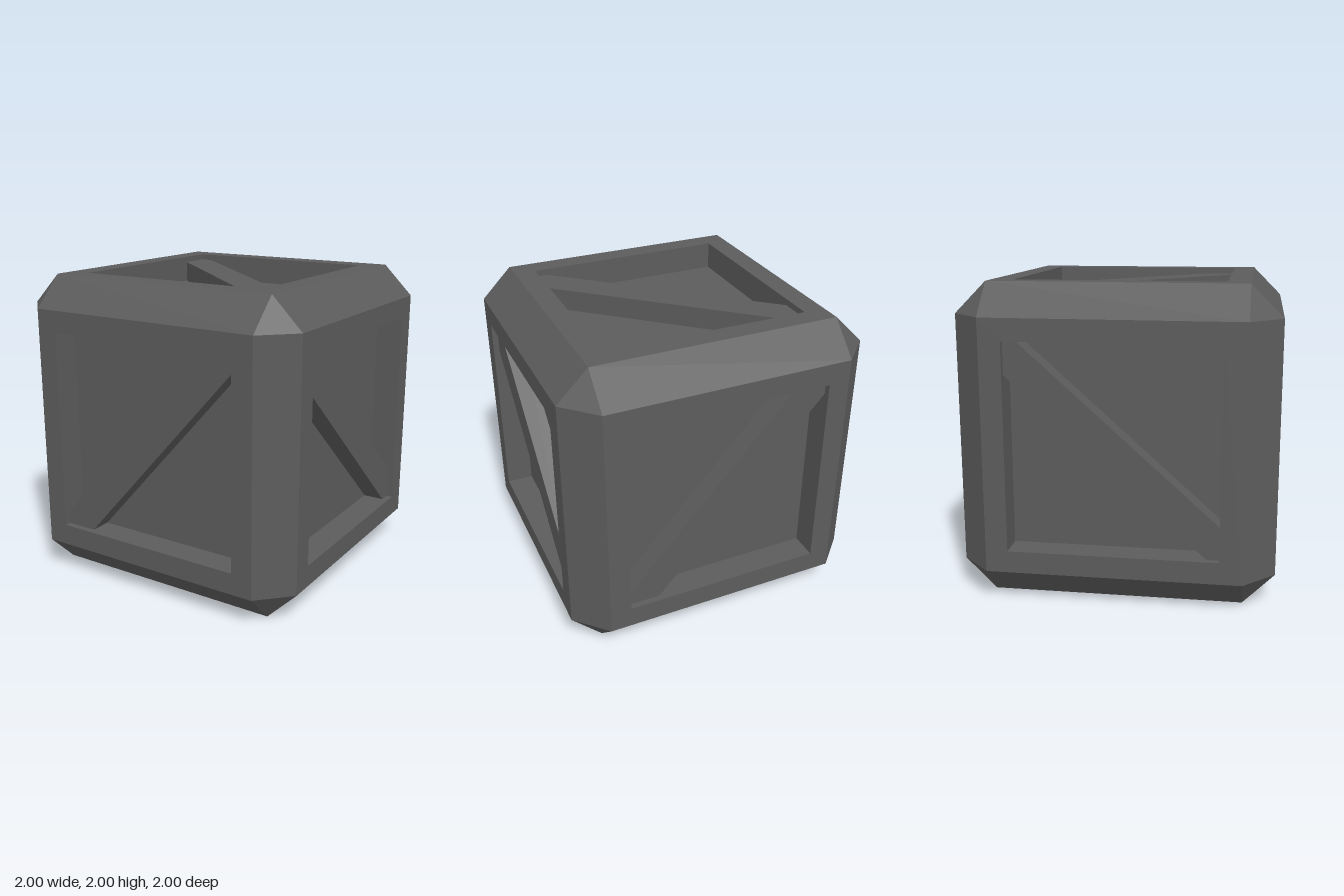
import * as THREE from 'three';

const HALF = 1;        // half of the crate's size
const FACE = 0.8;      // half width of each flat face inside the chamfers
const OPEN = 0.66;     // half width of the recessed opening
const FLOOR = 0.82;    // distance of the recessed board from the centre
const BRACE = 0.96;    // distance of the brace's outer surface from the centre

const material = new THREE.MeshStandardMaterial({ color: 0x5c5c5c, flatShading: true });

function add(parent, name, geometry) {
  const mesh = new THREE.Mesh(geometry, material);
  mesh.name = name;
  parent.add(mesh);
  return mesh;
}

const polygon = (points) => new THREE.Shape(points.map(([x, y]) => new THREE.Vector2(x, y)));
const square = (h) => polygon([[-h, -h], [h, -h], [h, h], [-h, h]]);

function extrude(shape, from, to) {
  return new THREE.ExtrudeGeometry(shape, { depth: to - from, bevelEnabled: false }).translate(0, 0, from);
}

// One side of the crate facing +z: frame, recessed board and diagonal brace
function createSide(name) {
  const side = new THREE.Group();
  side.name = name;

  const frame = square(FACE);
  frame.holes.push(square(OPEN));
  add(side, 'frame', extrude(frame, FLOOR, HALF));

  add(side, 'board', new THREE.PlaneGeometry(2 * OPEN, 2 * OPEN).translate(0, 0, FLOOR));

  const brace = polygon([
    [-OPEN, -OPEN], [-0.45, -OPEN], [OPEN, 0.58],
    [OPEN, OPEN], [0.45, OPEN], [-OPEN, -0.58],
  ]);
  add(side, 'diagonalBrace', extrude(brace, FLOOR, BRACE));
  return side;
}

export function createModel() {
  const crate = new THREE.Group();
  crate.name = 'crate';
  const body = new THREE.Group();
  body.name = 'body';
  body.position.y = HALF;
  crate.add(body);

  // Six sides; the brace is a quarter turn round on all but front and back
  const q = Math.PI / 2;
  const sides = [
    ['frontSide', 0, 0, 0], ['backSide', 0, 2 * q, 0],
    ['leftSide', 0, q, -q], ['rightSide', 0, -q, -q],
    ['topSide', -q, 0, -q], ['bottomSide', q, 0, -q],
  ];
  for (const [name, x, y, z] of sides) {
    const side = createSide(name);
    side.rotation.set(x, y, z);
    body.add(side);
  }

  // Chamfered edges: four along each axis
  const width = (HALF - FACE) * Math.SQRT2;
  const distance = (HALF + FACE) / Math.SQRT2;
  for (const [x, z] of [[0, 0], [q, 0], [0, q]]) {
    for (let k = 0; k < 4; k++) {
      const strip = new THREE.PlaneGeometry(width, 2 * FACE)
        .translate(0, 0, distance)
        .rotateY((k + 0.5) * q);
      add(body, 'edgeChamfer', strip).rotation.set(x, 0, z);
    }
  }

  // Triangular corner cuts
  for (const x of [-1, 1]) for (const y of [-1, 1]) for (const z of [-1, 1]) {
    const a = [x * HALF, y * FACE, z * FACE];
    const b = [x * FACE, y * HALF, z * FACE];
    const c = [x * FACE, y * FACE, z * HALF];
    const corners = x * y * z > 0 ? [a, b, c] : [a, c, b];
    const geometry = new THREE.BufferGeometry();
    geometry.setAttribute('position', new THREE.Float32BufferAttribute(corners.flat(), 3));
    geometry.computeVertexNormals();
    add(body, 'cornerCut', geometry);
  }

  return crate;
}
